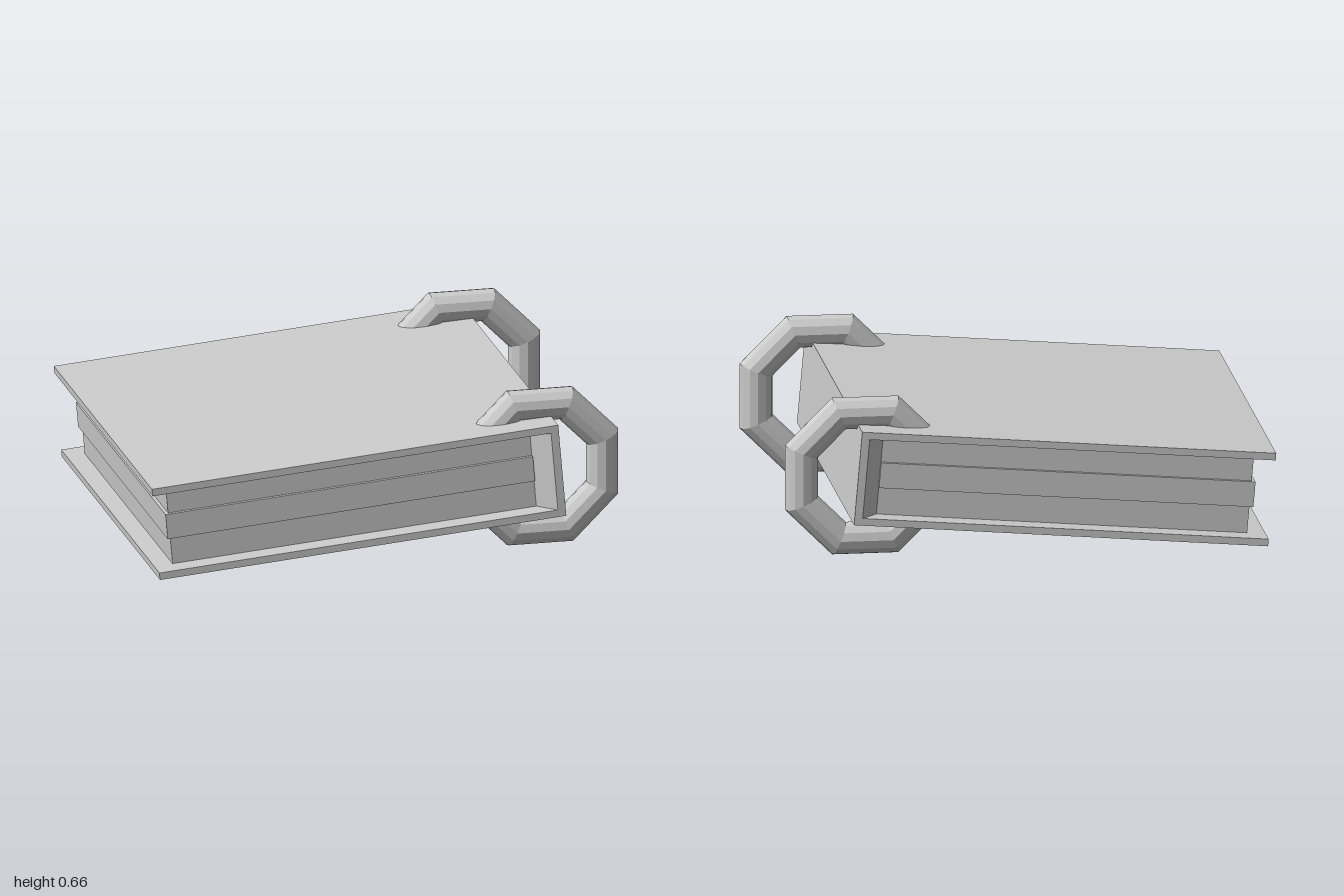
import * as THREE from 'three';

const material = new THREE.MeshStandardMaterial({ color: 0xcccccc, flatShading: true });

function add(parent, name, geometry, x = 0, y = 0, z = 0) {
  const mesh = new THREE.Mesh(geometry, material);
  mesh.name = name;
  mesh.position.set(x, y, z);
  parent.add(mesh);
  return mesh;
}

export function createModel() {
  const model = new THREE.Group();
  model.name = 'ringBinder';

  // Book, built level around its own centre and then tipped up toward the rings
  const book = new THREE.Group();
  book.name = 'book';
  book.position.set(-0.13, 0.286, 0);
  book.rotation.z = 0.0867;
  model.add(book);

  const halfW = 0.856, halfH = 0.196, depth = 1.71, board = 0.03;

  // Cover boards
  for (const [name, side] of [['topCover', 1], ['bottomCover', -1]]) {
    add(book, name, new THREE.BoxGeometry(halfW * 2, board, depth), 0, side * (halfH - board / 2), 0);
  }

  // Spine, with inner flanks slanting in to meet the pages
  const innerH = 2 * (halfH - board);
  const z = depth / 2, zIn = 0.765;
  const profile = new THREE.Shape([
    [halfW, -z], [halfW, z], [0.823, z], [0.754, zIn], [0.754, -zIn], [0.823, -z],
  ].map(([x, y]) => new THREE.Vector2(x, y)));
  const spine = new THREE.ExtrudeGeometry(profile, { depth: innerH, bevelEnabled: false });
  spine.rotateX(-Math.PI / 2);
  add(book, 'spine', spine, 0, -innerH / 2, 0);

  // Three stacks of pages, the middle one standing slightly proud
  const pages = [
    ['lowerPages', -halfH + board, -0.053, -0.779, 0.765],
    ['middlePages', -0.053, 0.053, -0.793, 0.78],
    ['upperPages', 0.053, halfH - board, -0.779, 0.765],
  ];
  for (const [name, y0, y1, x0, halfZ] of pages) {
    const x1 = 0.755;
    add(book, name, new THREE.BoxGeometry(x1 - x0, y1 - y0, halfZ * 2), (x0 + x1) / 2, (y0 + y1) / 2, 0);
  }

  // Octagonal binding rings
  for (const [name, side] of [['frontRing', 1], ['backRing', -1]]) {
    const geometry = new THREE.TorusGeometry(0.284, 0.073, 12, 8);
    geometry.rotateZ(Math.PI / 8);
    geometry.scale(1, 1, 0.9);
    add(model, name, geometry, 0.67, 0.33, side * 0.68);
  }

  return model;
}
